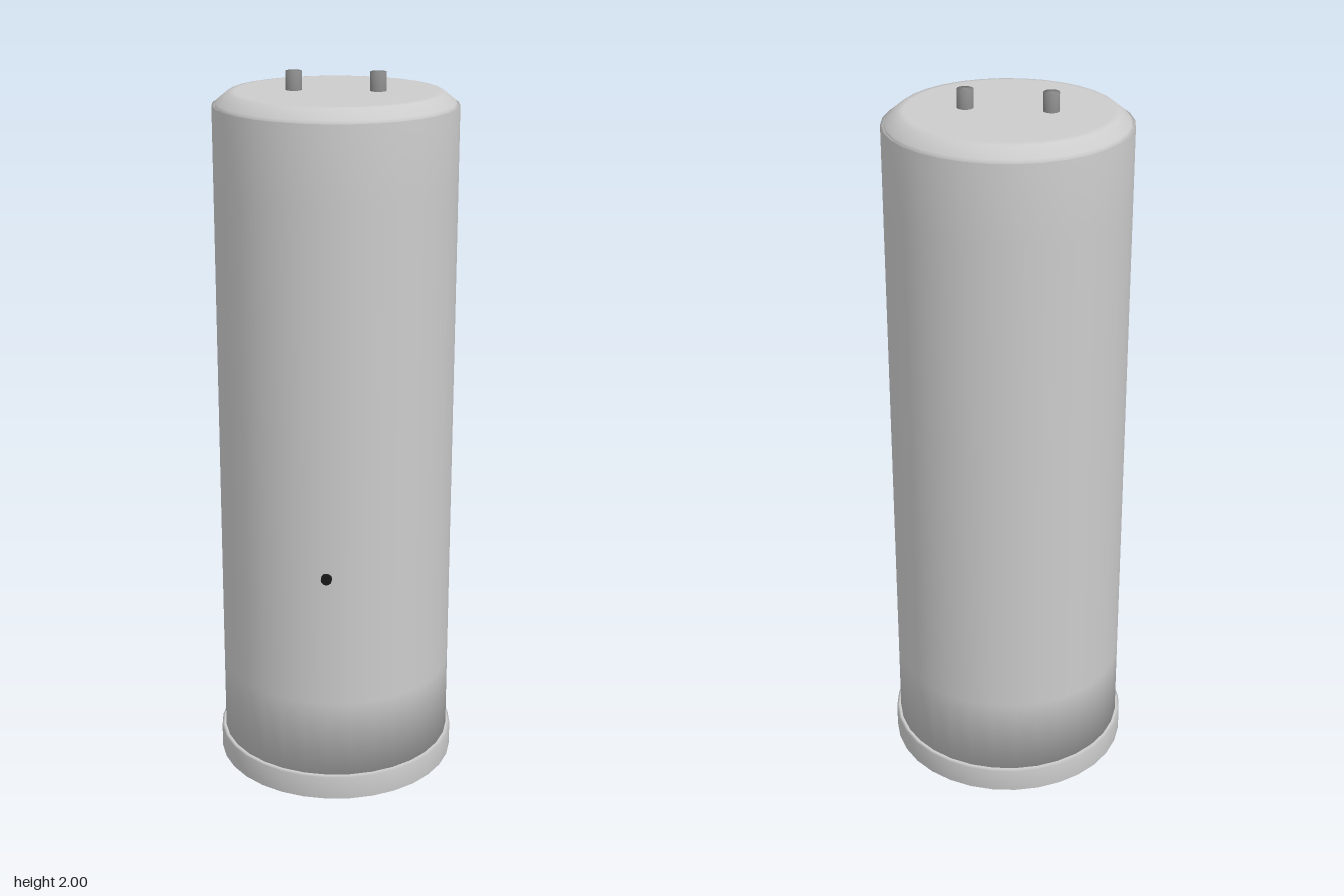
import * as THREE from 'three';

const grey = new THREE.MeshStandardMaterial({ color: 0xcccccc });
const pipeGrey = new THREE.MeshStandardMaterial({ color: 0x8a8a8a });
const black = new THREE.MeshStandardMaterial({ color: 0x1a1a1a });

// Smooth turned part; the profile runs from the bottom axis outwards and up.
function turned(name, profile, sides, material) {
  const points = profile.map(([r, y]) => new THREE.Vector2(r, y));
  const mesh = new THREE.Mesh(new THREE.LatheGeometry(points, sides), material);
  mesh.name = name;
  return mesh;
}

export function createModel() {
  const group = new THREE.Group();
  group.name = 'waterTank';

  // Low base ring, slightly wider than the tank
  group.add(turned('base', [
    [0, 0], [0.335, 0], [0.342, 0.004], [0.342, 0.072], [0.335, 0.075], [0, 0.075],
  ], 32, grey));

  // Cylindrical shell, softly shaded towards both ends, with a fine rim
  group.add(turned('tankBody', [
    [0, 0.07], [0.33, 0.07], [0.33, 0.3], [0.33, 1.7], [0.33, 1.915], [0.318, 1.91], [0.3, 1.91],
  ], 32, grey));

  // Bevelled lid set inside the rim
  group.add(turned('lid', [
    [0.322, 1.908], [0.32, 1.922], [0.288, 1.948], [0.27, 1.95], [0, 1.95],
  ], 32, grey));

  // Pair of pipe stubs on the lid
  for (const side of [-1, 1]) {
    const stub = turned(side > 0 ? 'leftPipe' : 'rightPipe', [
      [0.022, 1.94], [0.022, 2], [0, 2],
    ], 16, pipeGrey);
    stub.position.x = side * 0.112;
    group.add(stub);
  }

  // Small knob low on the front
  const knob = new THREE.Mesh(new THREE.CylinderGeometry(0.015, 0.015, 0.03, 12), black);
  knob.name = 'frontKnob';
  knob.rotation.x = Math.PI / 2;
  knob.position.set(0, 0.684, 0.326);
  group.add(knob);

  return group;
}
